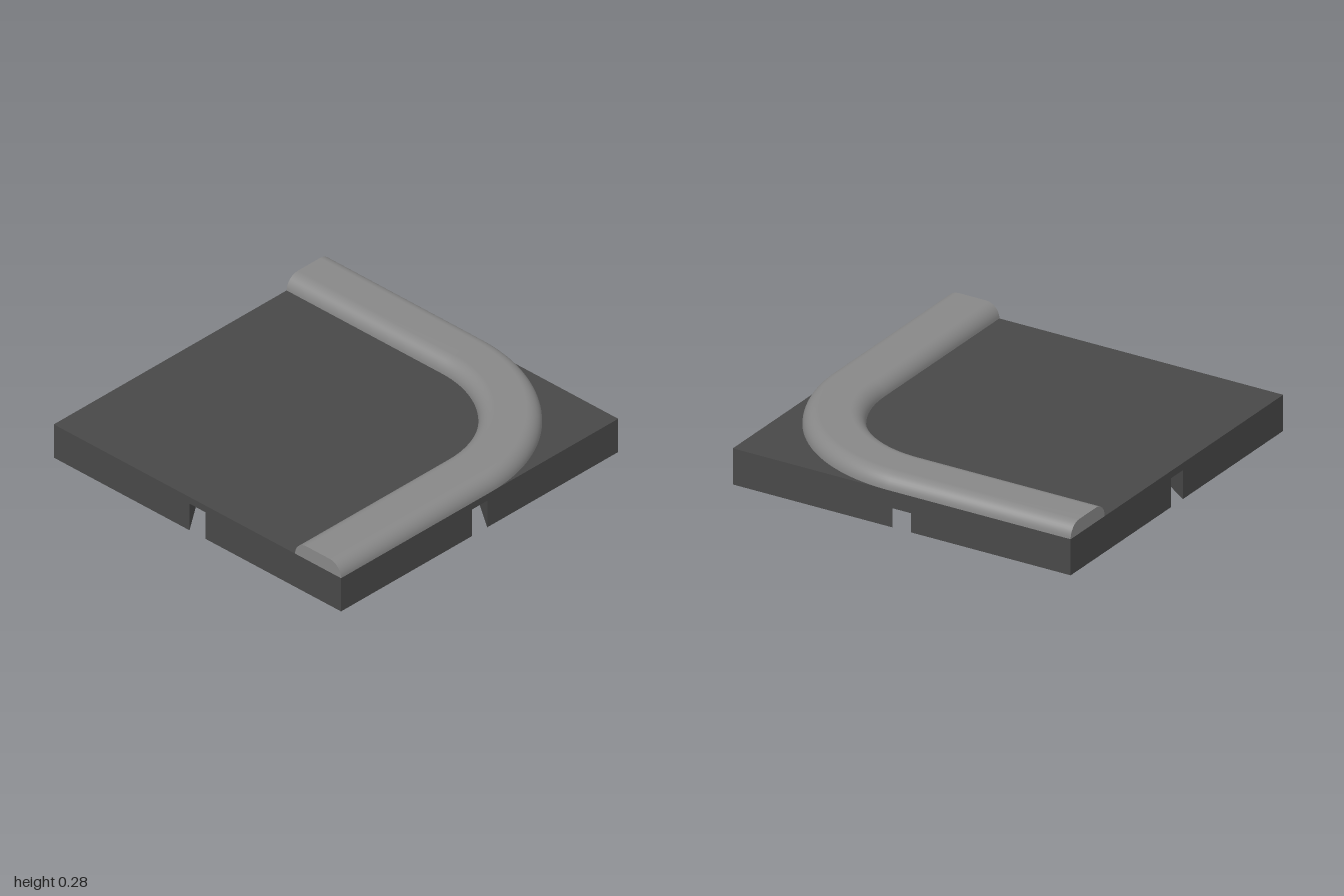
import * as THREE from 'three';
import { mergeGeometries } from 'three/addons/utils/BufferGeometryUtils.js';

const BASE_H = 0.2, TOP = 0.28;               // slab height, kerb height
const SLOT_H = 0.16, MOUTH = 0.055, INNER = 0.19, DEPTH = 0.19;
const C = 0.08, R_IN = 0.6, R_OUT = 0.92;     // kerb bend centre and radii

const flat = (pts) => new THREE.ShapeGeometry(new THREE.Shape(pts.map(([x, y]) => new THREE.Vector2(x, y))));

// Dovetail slot in plan (x, z), cut into the +z side
const slot = [[-MOUTH, 1], [-INNER, 1 - DEPTH], [INNER, 1 - DEPTH], [MOUTH, 1]];

function slabGeometry() {
  const parts = [flat([[-1, -1], [1, -1], [1, 1], [-1, 1]]).rotateX(-Math.PI / 2).translate(0, BASE_H, 0)];
  const outline = [];
  for (let k = 0; k < 4; k++) {
    const a = k * Math.PI / 2, cos = Math.cos(a), sin = Math.sin(a);
    // Outer wall with the slot mouth
    const side = [flat([[-1, 0], [-MOUTH, 0], [-MOUTH, SLOT_H], [MOUTH, SLOT_H], [MOUTH, 0], [1, 0],
      [1, BASE_H], [-1, BASE_H]]).translate(0, 0, 1)];
    // Slot ceiling
    side.push(flat(slot).rotateX(Math.PI / 2).translate(0, SLOT_H, 0));
    // Slot walls
    for (let i = 0; i < 3; i++) {
      const [x0, z0] = slot[i], [x1, z1] = slot[i + 1];
      side.push(new THREE.PlaneGeometry(Math.hypot(x1 - x0, z1 - z0), SLOT_H)
        .rotateY(Math.atan2(z0 - z1, x1 - x0))
        .translate((x0 + x1) / 2, SLOT_H / 2, (z0 + z1) / 2));
    }
    side.forEach((g) => parts.push(g.rotateY(a)));
    // Underside outline, one notched side at a time
    for (const [x, z] of [[-1, 1], ...slot]) outline.push([x * cos + z * sin, -x * sin + z * cos]);
  }
  parts.push(flat(outline).rotateX(Math.PI / 2));
  return mergeGeometries(parts);
}

// Kerb cross-section: flat top with rounded shoulders, as (radius, y)
function kerbProfile() {
  const r = TOP - BASE_H, n = 10, pts = [];
  for (let i = 0; i <= n; i++) {
    const a = (i / n) * Math.PI / 2;
    pts.push([R_IN + r - r * Math.cos(a), BASE_H + r * Math.sin(a)]);
  }
  for (let i = n; i >= 0; i--) {
    const a = (i / n) * Math.PI / 2;
    pts.push([R_OUT - r + r * Math.cos(a), BASE_H + r * Math.sin(a)]);
  }
  return pts;
}

// Sweep the section along straight, quarter bend, straight
function kerbGeometry(profile) {
  const stations = [[-1, C, Math.PI / 2]], bend = 40;
  for (let i = 0; i <= bend; i++) stations.push([C, C, (1 - i / bend) * Math.PI / 2]);
  stations.push([C, -1, 0]);
  const pos = [], index = [], m = profile.length;
  stations.forEach(([x, z, a], i) => {
    profile.forEach(([r, y], j) => {
      pos.push(x + r * Math.cos(a), y, z + r * Math.sin(a));
      if (i < stations.length - 1 && j < m - 1) {
        const p = i * m + j;
        index.push(p, p + 1, p + m, p + 1, p + m + 1, p + m);
      }
    });
  });
  const g = new THREE.BufferGeometry();
  g.setAttribute('position', new THREE.Float32BufferAttribute(pos, 3));
  g.setIndex(index);
  g.computeVertexNormals();
  return g;
}

export function createModel() {
  const model = new THREE.Group();
  model.name = 'cornerTile';
  const add = (parent, name, geometry, material) => {
    const mesh = new THREE.Mesh(geometry, material);
    mesh.name = name;
    parent.add(mesh);
  };

  // Square slab with a connector slot in each side
  add(model, 'slab', slabGeometry(), new THREE.MeshStandardMaterial({ color: 0x484848 }));

  // Curved kerb with flat ends
  const kerb = new THREE.Group();
  kerb.name = 'kerb';
  model.add(kerb);
  const grey = new THREE.MeshStandardMaterial({ color: 0x888888 });
  const profile = kerbProfile();
  add(kerb, 'kerbRail', kerbGeometry(profile), grey);
  add(kerb, 'kerbEndRight', flat(profile).rotateY(-Math.PI / 2).translate(-1, 0, C), grey);
  add(kerb, 'kerbEndBack', flat(profile.map(([r, y]) => [-r, y])).rotateY(Math.PI).translate(C, 0, -1), grey);
  return model;
}
